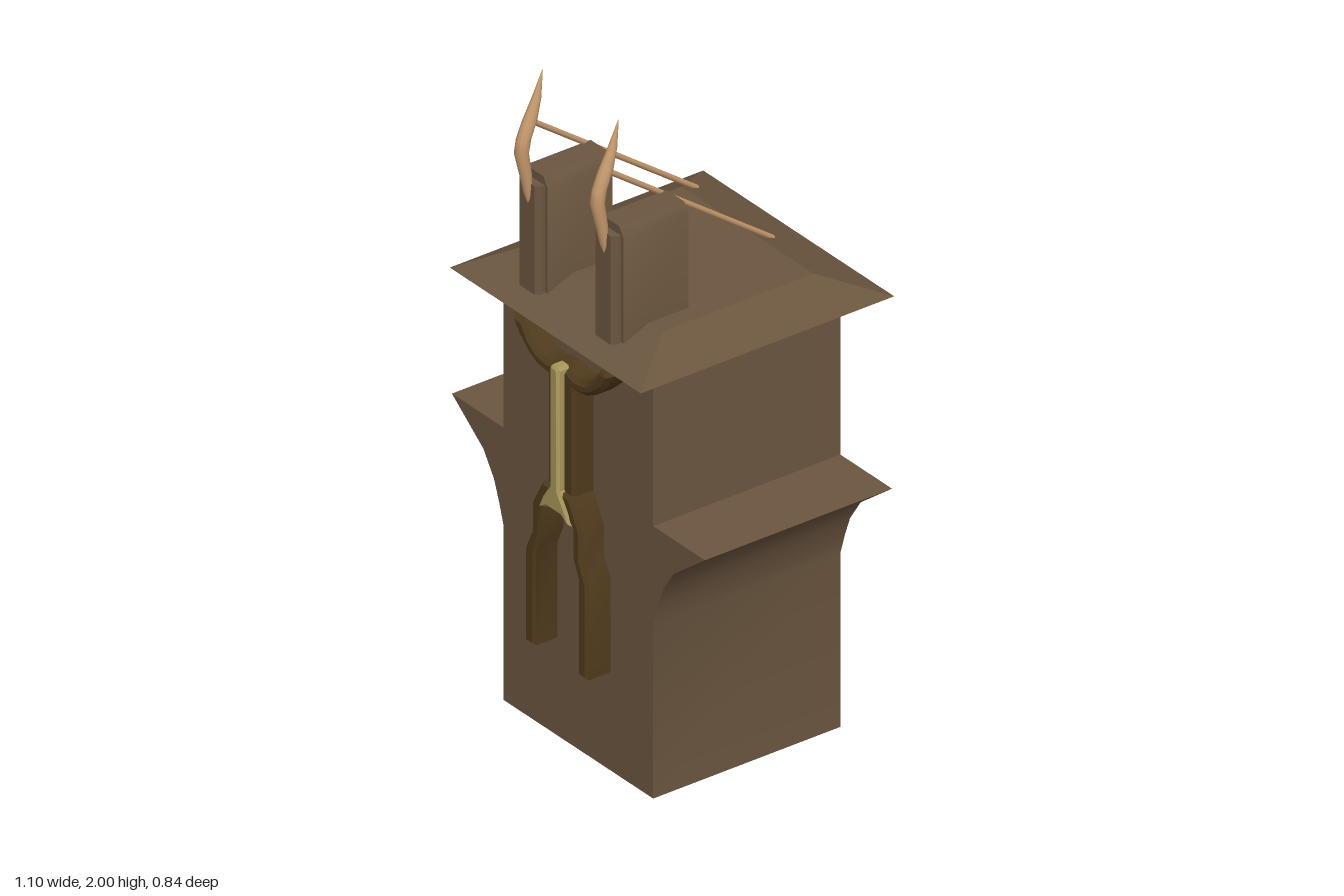
import * as THREE from 'three';
import { toCreasedNormals } from 'three/addons/utils/BufferGeometryUtils.js';
import { ConvexGeometry } from 'three/addons/geometries/ConvexGeometry.js';

const material = (color) => new THREE.MeshStandardMaterial({ color });
const wood = material(0x6b563f);
const bone = material(0xc89c6e);
const bronze = material(0x4f3a1c);
const gold = material(0xa8955a);

function addMesh(parent, name, geometry, mat) {
  const mesh = new THREE.Mesh(geometry, mat);
  mesh.name = name;
  parent.add(mesh);
  return mesh;
}

// Extrudes an outline from z0 to z1, with an optional inset bevel on the front
function slab(points, z0, z1, bevel = 0) {
  const shape = new THREE.Shape(points.map(([x, y]) => new THREE.Vector2(x, y)));
  const geometry = new THREE.ExtrudeGeometry(shape, {
    depth: z1 - z0 - bevel, bevelEnabled: bevel > 0, bevelThickness: bevel,
    bevelSize: bevel, bevelOffset: -bevel, bevelSegments: 1,
  });
  geometry.translate(0, 0, z0);
  return toCreasedNormals(geometry, 0.6);
}

// Closes a half outline (right side, bottom to top) with its mirror image
const mirrored = (half) => [...half, ...half.map(([x, y]) => [-x, y]).reverse()];

// Hull through stacked rectangles [halfWidth, y, halfDepth]
function stackedRects(rects) {
  const points = [];
  for (const [w, y, d] of rects)
    for (const sx of [-1, 1]) for (const sz of [-1, 1])
      points.push(new THREE.Vector3(sx * w, y, sz * d));
  return new ConvexGeometry(points);
}

// Curved spike: elliptical rings [y, z, halfWidth, halfDepth], pointed at both ends
function spike(rings, sides = 10) {
  const positions = [], index = [];
  for (const [y, z, w, d] of rings)
    for (let i = 0; i < sides; i++) {
      const a = (i / sides) * Math.PI * 2;
      positions.push(w * Math.sin(a), y, z + d * Math.cos(a));
    }
  for (let r = 0; r < rings.length - 1; r++)
    for (let i = 0; i < sides; i++) {
      const a = r * sides + i, b = r * sides + ((i + 1) % sides);
      index.push(a, b, b + sides, a, b + sides, a + sides);
    }
  const geometry = new THREE.BufferGeometry();
  geometry.setAttribute('position', new THREE.Float32BufferAttribute(positions, 3));
  geometry.setIndex(index);
  geometry.computeVertexNormals();
  return geometry;
}

// Tower block with the curved side ledges in its outline
function buildTower() {
  const half = [
    [0.325, 0], [0.325, 0.53], [0.345, 0.595], [0.367, 0.655], [0.413, 0.725],
    [0.55, 0.83], [0.325, 0.83], [0.325, 1.25],
  ];
  return slab(mirrored(half), -0.31, 0.31);
}

// Wishbone emblem: curved arms on a stem, and two cranked legs
function buildEmblem() {
  const emblem = new THREE.Group();
  emblem.name = 'emblem';
  emblem.position.x = 0.005;
  const stem = [
    [0.06, 0.80], [0.06, 1.14], [0.10, 1.145], [0.14, 1.165], [0.185, 1.205], [0.215, 1.255],
    [0.165, 1.255], [0.135, 1.21], [0.10, 1.187], [0.06, 1.18], [0.03, 1.19],
  ];
  addMesh(emblem, 'emblemStem', slab(mirrored(stem), 0.3, 0.375, 0.012), bronze);

  const leg = [
    [0.095, 0.30], [0.135, 0.30], [0.135, 0.585], [0.105, 0.65], [0.105, 0.735], [0.06, 0.82],
    [0.02, 0.82], [0.02, 0.78], [0.07, 0.735], [0.07, 0.65], [0.095, 0.59],
  ];
  for (const side of [1, -1]) {
    const outline = leg.map(([x, y]) => [x * side, y]);
    addMesh(emblem, side > 0 ? 'leftEmblemLeg' : 'rightEmblemLeg', slab(outline, 0.3, 0.39, 0.008), bronze);
  }

  const inlay = [
    [0.03, 0.757], [0.068, 0.74], [0.055, 0.775], [0.035, 0.805], [0.02, 0.825], [0.02, 1.19], [0.01, 1.2],
  ];
  addMesh(emblem, 'emblemInlay', slab(mirrored(inlay), 0.36, 0.398, 0.008), gold);
  return emblem;
}

// Post on the roof with its front trim, horn and stay
function buildPost(x) {
  const post = new THREE.Group();
  post.name = 'roofPost';
  post.position.x = x;
  const block = mirrored([[0.057, 1.3], [0.057, 1.67], [0.038, 1.7]]);
  addMesh(post, 'postBlock', slab(block, 0.12, 0.335), wood);

  const trim = [];
  for (const y of [1.345, 1.675])
    for (const [w, z] of [[0.045, 0.33], [0.045, 0.345], [0.032, 0.36]])
      for (const side of [1, -1]) trim.push(new THREE.Vector3(w * side, y, z));
  addMesh(post, 'postTrim', new ConvexGeometry(trim), wood);

  const horn = addMesh(post, 'horn', spike([
    [1.6, 0.355, 0.001, 0.001], [1.64, 0.359, 0.013, 0.011], [1.7, 0.367, 0.017, 0.017],
    [1.77, 0.381, 0.02, 0.02], [1.81, 0.374, 0.02, 0.021], [1.86, 0.354, 0.018, 0.022],
    [1.92, 0.332, 0.011, 0.015], [2.0, 0.311, 0.001, 0.001],
  ]), bone);
  horn.position.x = 0.003;

  const top = new THREE.Vector3(0.002, 1.855, 0.345);
  const foot = new THREE.Vector3(-0.135, 1.36, -0.305);
  const stay = new THREE.TubeGeometry(new THREE.LineCurve3(top, foot), 1, 0.008, 8);
  addMesh(post, 'stay', stay, bone);
  return post;
}

export function createModel() {
  const model = new THREE.Group();
  model.name = 'tower';
  addMesh(model, 'towerBody', buildTower(), wood);
  // Roof flaring to the eaves, then sloping in to a flat top
  addMesh(model, 'roof', stackedRects([[0.325, 1.25, 0.31], [0.415, 1.315, 0.42], [0.287, 1.385, 0.25]]), wood);
  model.add(buildEmblem());
  for (const x of [-0.158, 0.172]) model.add(buildPost(x));
  return model;
}
